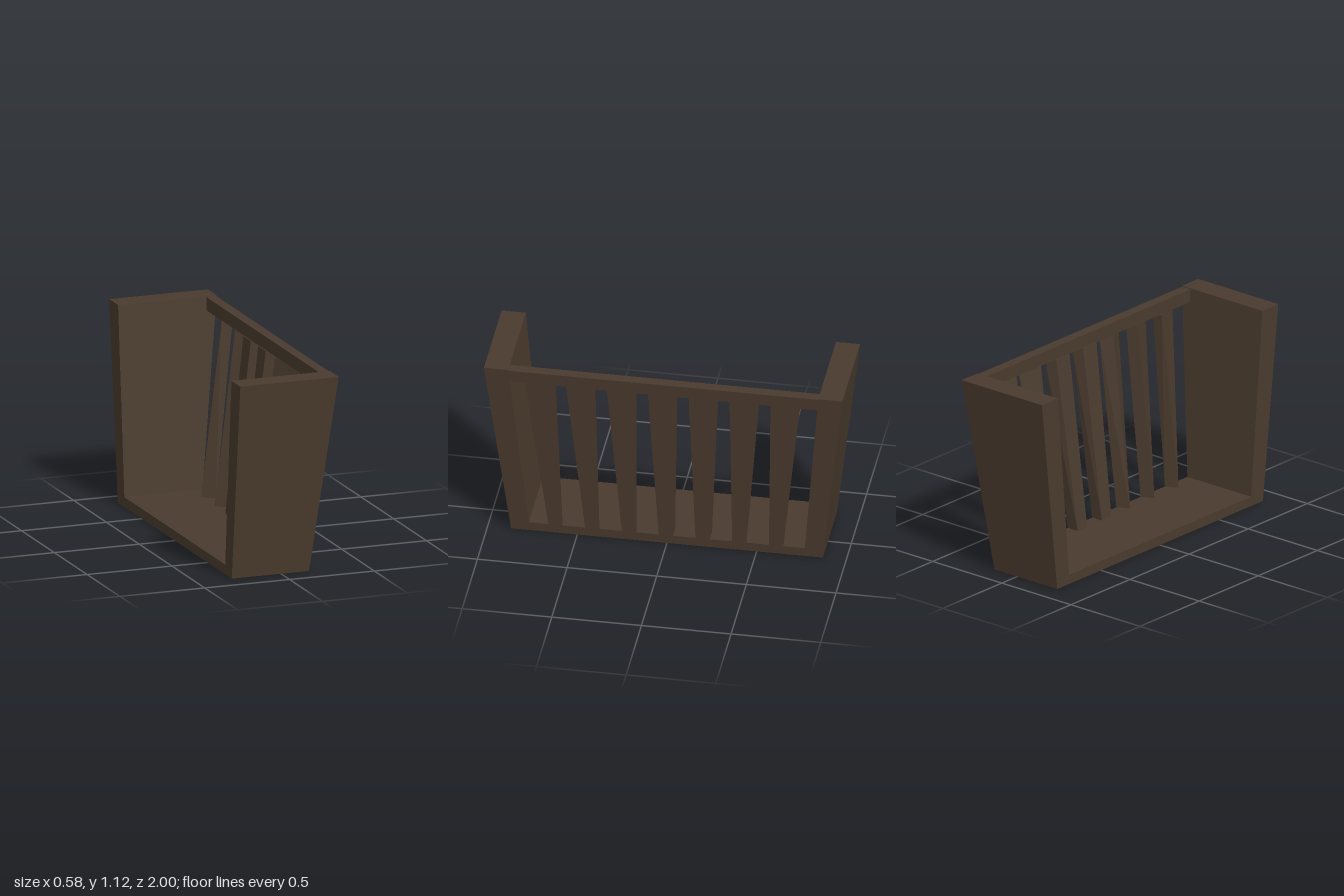
import * as THREE from 'three';
import { ConvexGeometry } from 'three/addons/geometries/ConvexGeometry.js';

const H = 1.125, BACK = -0.29, FLOOR = 0.055, RAIL = 1.045;
const frontX = (y) => 0.165 + 0.125 * y / H;   // leaning slatted face
const outerZ = (y) => 0.87 + 0.13 * y / H;     // flared end walls
const innerZ = (y) => 0.765 + 0.1 * y / H;

export function createModel() {
  const group = new THREE.Group();
  const wood = new THREE.MeshStandardMaterial({ color: 0x4a3b2e, flatShading: true });

  // Solid between a lower and an upper outline, each a list of [x, z]
  const block = (name, y0, lower, y1, upper) => {
    const points = [
      ...lower.map(([x, z]) => new THREE.Vector3(x, y0, z)),
      ...upper.map(([x, z]) => new THREE.Vector3(x, y1, z)),
    ];
    const mesh = new THREE.Mesh(new ConvexGeometry(points), wood);
    mesh.name = name;
    group.add(mesh);
  };
  const rect = (x0, x1, z0, z1) => [[x0, z0], [x1, z0], [x1, z1], [x0, z1]];

  // Floor board
  const f0 = innerZ(0), f1 = innerZ(FLOOR);
  block('floor', 0, rect(BACK, frontX(0), -f0, f0),
    FLOOR, rect(BACK, frontX(FLOOR), -f1, f1));

  // Flared end walls
  for (const s of [1, -1]) {
    block(s > 0 ? 'frontWall' : 'backWall',
      0, rect(BACK, frontX(0), s * innerZ(0), s * outerZ(0)),
      H, rect(BACK, frontX(H), s * innerZ(H), s * outerZ(H)));
  }

  // Top rail over the slats
  const top = H - 0.005;
  block('topRail', RAIL, rect(0.23, frontX(RAIL), -innerZ(RAIL), innerZ(RAIL)),
    top, rect(0.23, frontX(top), -innerZ(top), innerZ(top)));

  // Tapered slats: most come to a ridge inside, two have a flat inner face
  for (let k = -3; k <= 3; k++) {
    const low = 0.005 + 0.205 * k, high = 0.005 + 0.228 * k;
    const flat = k === 0 || k === -1;
    const outline = (x, z, half, inX, inZ, inHalf) => [
      [x, z - half], [x, z + half],
      ...(flat ? [[inX, inZ + inHalf], [inX, inZ - inHalf]] : [[inX, inZ]]),
    ];
    const ridge = 0.204 * k;
    block('slat', FLOOR - 0.005, outline(frontX(FLOOR), low, 0.04, 0.1, flat ? low : ridge, 0.04),
      RAIL, outline(frontX(RAIL), high, 0.082, 0.222, flat ? high : ridge, 0.057));
  }
  return group;
}
